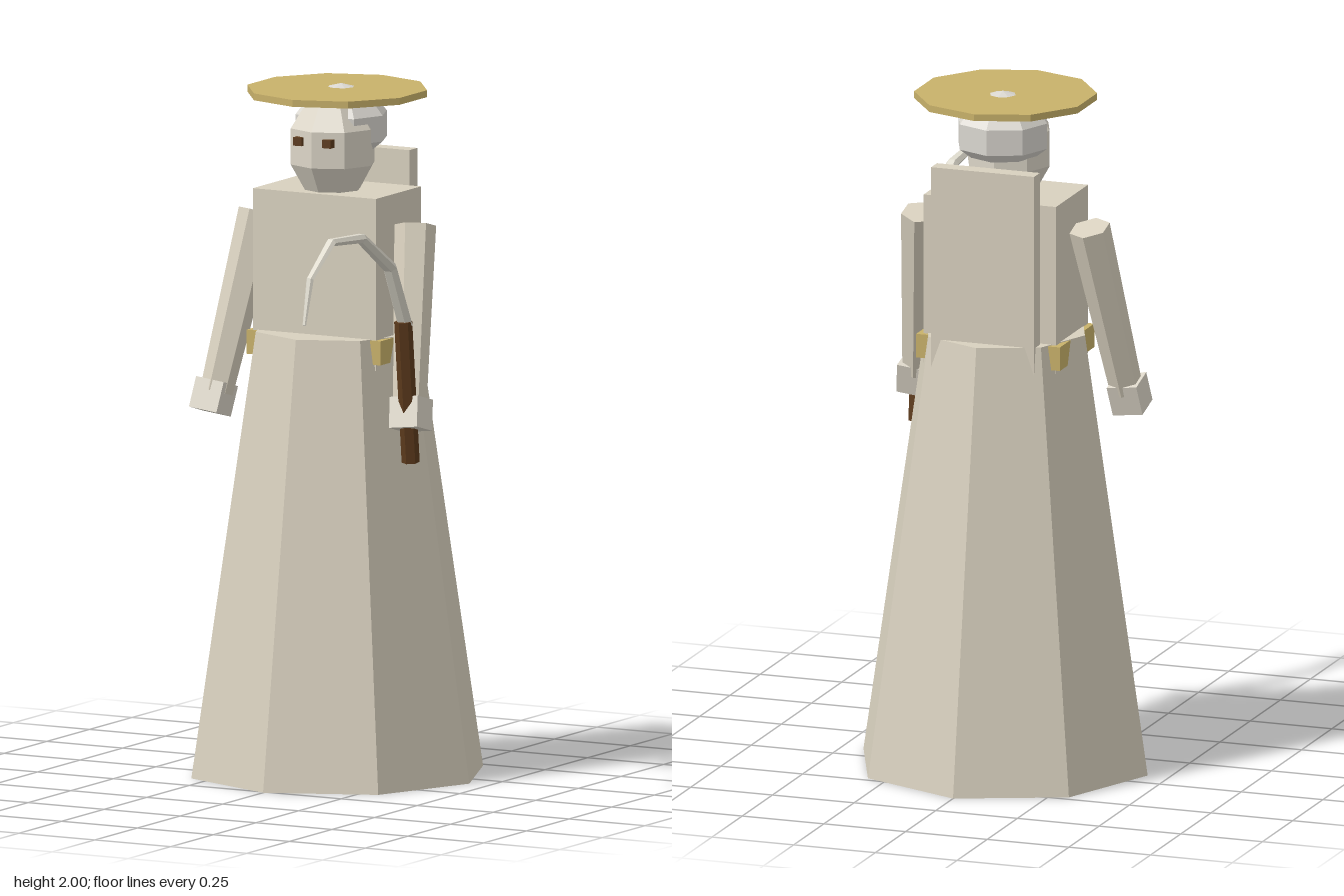
import * as THREE from 'three';

const mat = (name, color) => {
  const m = new THREE.MeshStandardMaterial({ color, flatShading: true });
  m.name = name;
  return m;
};

// Blade swept along a curve in the yz plane; each station is [z, y, halfWidth, halfThickness]
function sweepBlade(stations, sides) {
  const pos = [], idx = [];
  const X = new THREE.Vector3(1, 0, 0);
  const pts = stations.map(([z, y]) => new THREE.Vector3(0, y, z));
  const last = pts.length - 1;
  pts.forEach((p, i) => {
    const t = pts[Math.min(i + 1, last)].clone().sub(pts[Math.max(i - 1, 0)]).normalize();
    const n = t.cross(X);
    for (let j = 0; j < sides; j++) {
      const a = (j / sides) * Math.PI * 2;
      const q = p.clone().addScaledVector(X, Math.cos(a) * stations[i][2])
        .addScaledVector(n, Math.sin(a) * stations[i][3]);
      pos.push(q.x, q.y, q.z);
    }
  });
  for (let i = 0; i < last; i++) {
    for (let j = 0; j < sides; j++) {
      const k = (j + 1) % sides;
      const a = i * sides + j, b = i * sides + k, c = b + sides, d = a + sides;
      idx.push(a, b, c, a, c, d);
    }
  }
  for (let j = 1; j < sides - 1; j++) {
    idx.push(0, j + 1, j, last * sides, last * sides + j, last * sides + j + 1);
  }
  const g = new THREE.BufferGeometry();
  g.setAttribute('position', new THREE.Float32BufferAttribute(pos, 3));
  g.setIndex(idx);
  const flat = g.toNonIndexed();
  flat.computeVertexNormals();
  return flat;
}

export function createModel() {
  const model = new THREE.Group();
  model.name = 'robedFigure';

  const robe = mat('robeCream', 0xd8d0be);
  const skin = mat('skinPale', 0xdcd6c8);
  const hair = mat('hairWhite', 0xdad7d0);
  const gold = mat('strawGold', 0xc8b16a);
  const wood = mat('woodBrown', 0x5c3a1c);
  const blade = mat('bladeIvory', 0xdedacd);

  const add = (name, geo, material, x = 0, y = 0, z = 0) => {
    const m = new THREE.Mesh(geo, material);
    m.name = name;
    m.position.set(x, y, z);
    model.add(m);
    return m;
  };
  const box = (w, h, d) => new THREE.BoxGeometry(w, h, d);
  const lathe = (points) =>
    new THREE.LatheGeometry(points.map(([r, y]) => new THREE.Vector2(r, y)), 8);

  // Tapered cylinder between two points
  const up = new THREE.Vector3(0, 1, 0);
  const limb = (name, top, bottom, rTop, rBottom, sides, material) => {
    const dir = top.clone().sub(bottom);
    const m = add(name, new THREE.CylinderGeometry(rTop, rBottom, dir.length(), sides), material);
    m.position.copy(top).add(bottom).multiplyScalar(0.5);
    m.quaternion.setFromUnitVectors(up, dir.normalize());
    return m;
  };

  // Robe, belt and the board on the back
  add('skirt', new THREE.CylinderGeometry(0.243, 0.435, 1.29, 8), robe, 0, 0.645, -0.172);
  add('torso', box(0.405, 0.5, 0.265), robe, 0, 1.45, -0.17);
  add('belt', box(0.44, 0.07, 0.285), gold, 0, 1.253, -0.175);
  add('backBoard', box(0.315, 0.75, 0.048), robe, 0, 1.425, -0.338);

  // Head, hair and hat
  add('head', lathe([[0, 1.69], [0.08, 1.695], [0.125, 1.775], [0.125, 1.88], [0.08, 1.95], [0, 1.965]]),
    skin, 0, 0, -0.145);
  add('hair', lathe([[0, 1.79], [0.1, 1.812], [0.136, 1.84], [0.136, 1.915], [0.085, 1.978], [0, 2.0]]),
    hair, 0, 0, -0.195);
  add('hat', new THREE.CylinderGeometry(0.263, 0.263, 0.02, 10), gold, 0, 1.98, -0.172);

  // Eyes, arms and hands, mirrored
  for (const s of [1, -1]) {
    const side = s > 0 ? 'left' : 'right';
    add(side + 'Eye', box(0.028, 0.024, 0.03), wood, s * 0.048, 1.849, -0.037);
    const arm = limb(side + 'Arm', new THREE.Vector3(s * 0.257, 1.61, -0.172),
      new THREE.Vector3(s * 0.318, 1.1, -0.03), 0.06, 0.048, 6, robe);
    const hand = add(side + 'Hand', box(0.092, 0.09, 0.09), skin, s * 0.325, 1.087, -0.025);
    hand.quaternion.copy(arm.quaternion);
  }

  // Sickle held in the left hand
  limb('sickleHandle', new THREE.Vector3(0.326, 1.362, 0.022),
    new THREE.Vector3(0.326, 0.947, -0.022), 0.026, 0.026, 6, wood);
  const sickle = add('sickleBlade', sweepBlade([
    [0.01, 1.35, 0.025, 0.02], [0.1, 1.53, 0.023, 0.018], [0.27, 1.638, 0.019, 0.015],
    [0.445, 1.65, 0.016, 0.012], [0.568, 1.56, 0.012, 0.009], [0.602, 1.43, 0.006, 0.004],
  ], 6), blade);
  sickle.position.x = 0.326;

  return model;
}
